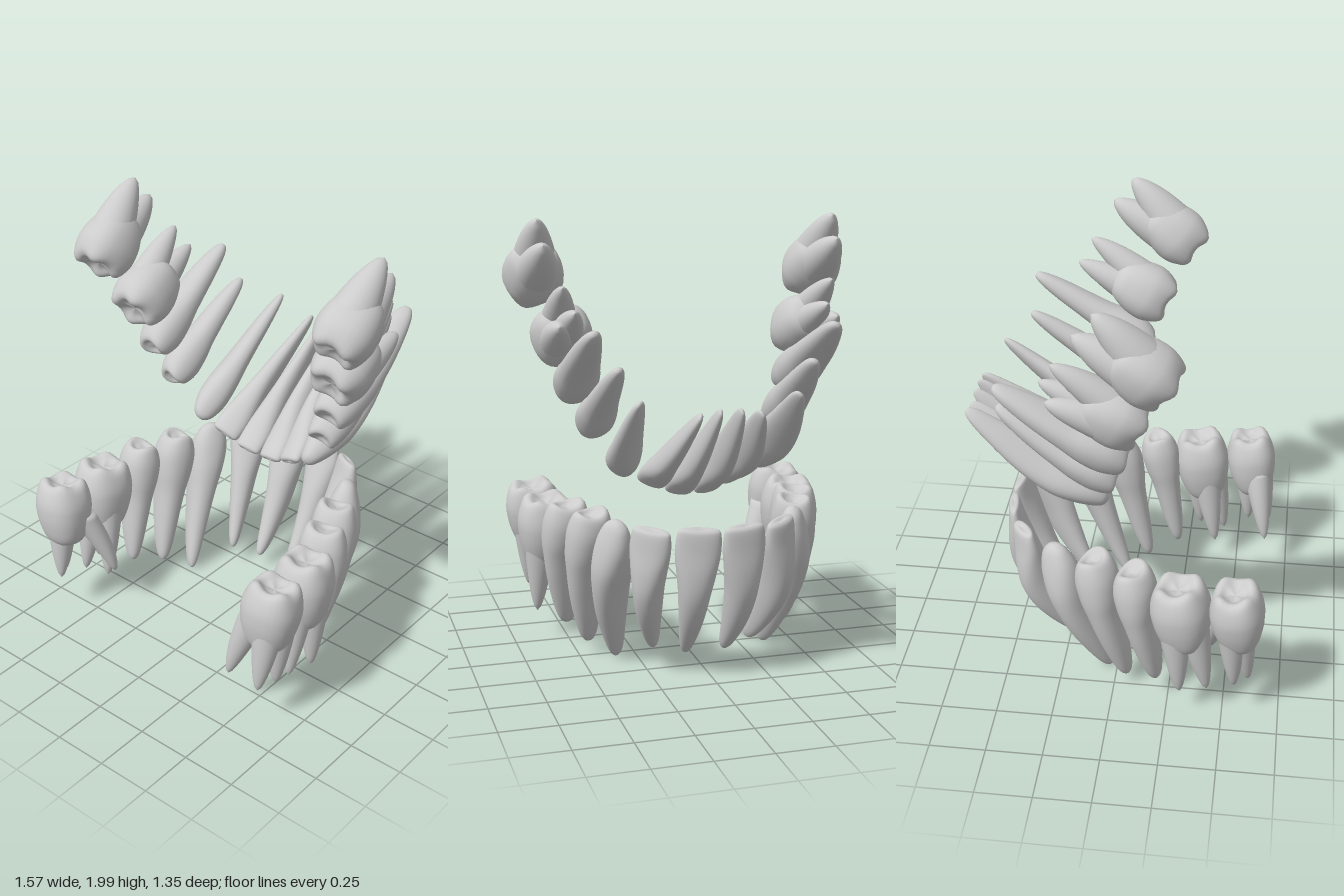
import * as THREE from 'three';

const V = (p) => new THREE.Vector3(...p);
const material = new THREE.MeshStandardMaterial({ color: 0xcccccc });
const SIDES = 28;

// Profiles run from the biting surface to the root tip: [width, depth, t] as shares of the tooth size
const PROFILES = {
  incisor: [[0, 0, 0.005], [0.76, 0.24, 0], [0.94, 0.38, 0.025], [1, 0.56, 0.13], [0.88, 0.84, 0.27], [0.72, 1, 0.42],
    [0.6, 0.95, 0.58], [0.46, 0.76, 0.75], [0.29, 0.48, 0.92], [0.15, 0.25, 0.985], [0, 0, 1]],
  canine: [[0, 0, 0], [0.4, 0.28, 0.015], [0.75, 0.5, 0.06], [1, 0.8, 0.17], [0.96, 1, 0.3], [0.78, 0.98, 0.45],
    [0.65, 0.86, 0.6], [0.52, 0.66, 0.76], [0.33, 0.42, 0.92], [0.17, 0.22, 0.985], [0, 0, 1]],
  premolar: [[0, 0, 0.035], [0.3, 0.32, 0.025], [0.56, 0.58, 0], [0.82, 0.8, 0.035], [1, 0.98, 0.15], [0.95, 1, 0.27],
    [0.76, 0.91, 0.42], [0.64, 0.8, 0.58], [0.52, 0.63, 0.76], [0.34, 0.42, 0.92], [0.18, 0.22, 0.985], [0, 0, 1]],
  molar: [[0, 0, 0.055], [0.33, 0.33, 0.04], [0.62, 0.62, 0], [0.85, 0.85, 0.05], [1, 1, 0.2], [0.97, 0.98, 0.32],
    [0.84, 0.88, 0.45], [0.68, 0.74, 0.54], [0.42, 0.46, 0.6], [0, 0, 0.62]],
};
const CUSPS = { incisor: [0, 0], canine: [0, 0], premolar: [2, 0.012], molar: [4, 0.012] };

// Skins closed rings of SIDES points, listed from the biting surface towards the root
function skin(rings) {
  const index = [];
  for (let r = 0; r < rings.length - 1; r++) {
    for (let i = 0; i < SIDES; i++) {
      const a = r * SIDES + i, a1 = r * SIDES + (i + 1) % SIDES;
      index.push(a, a + SIDES, a1, a1, a + SIDES, a1 + SIDES);
    }
  }
  const geometry = new THREE.BufferGeometry().setFromPoints(rings.flat());
  geometry.setIndex(index);
  geometry.computeVertexNormals();
  return geometry;
}

// Rounded-square ring lying across the tooth's axis
function ring(center, w, d, power, lift = () => 0) {
  return Array.from({ length: SIDES }, (_, i) => {
    const a = (i / SIDES) * Math.PI * 2, c = Math.cos(a), s = Math.sin(a);
    return new THREE.Vector3(
      center.x + w * Math.sign(c) * Math.abs(c) ** power,
      center.y + lift(a),
      center.z + d * Math.sign(s) * Math.abs(s) ** power);
  });
}

// Crown with its main root; bend bows the axis outwards
function bodyGeometry(type, length, w, d, bend) {
  const [count, height] = CUSPS[type];
  const curve = new THREE.CatmullRomCurve3(PROFILES[type].map(V));
  const rings = [];
  for (let i = 0; i <= 40; i++) {
    const p = curve.getPoint(i / 40), t = p.z;
    const rim = height * Math.max(0, 1 - t / 0.2) * Math.min(1, p.x * 1.3);
    const center = new THREE.Vector3(0, t * length, bend * Math.sin(Math.PI * Math.min(1, t)));
    rings.push(ring(center, Math.max(0, p.x) * w, Math.max(0, p.y) * d,
      type === 'molar' ? 0.85 : 0.9, (a) => rim * Math.cos(count * a)));
  }
  return skin(rings);
}

// Separate molar root from inside the body to its tip; size is its girth as a share of the crown
function rootGeometry(tip, length, w, d, size) {
  const room = 0.92 - size;
  const start = new THREE.Vector3(
    THREE.MathUtils.clamp(tip.x * 0.6, -w * room, w * room), length * 0.28,
    THREE.MathUtils.clamp(tip.z * 0.6, -d * room, d * room));
  const knee = new THREE.Vector3(tip.x * 0.8, length * 0.64, tip.z * 0.8);
  const curve = new THREE.QuadraticBezierCurve3(start, knee, tip);
  const rings = [];
  for (let i = 0; i <= 18; i++) {
    const u = i / 18;
    const r = i === 0 ? 0 : size * (1 - 0.66 * u ** 1.2) * Math.sqrt(Math.max(0, 1 - u ** 6));
    rings.push(ring(curve.getPoint(u), r * w, r * d, 1));
  }
  return skin(rings);
}

// crown and tip are points on the left side; tips lists the ends of separate roots
const UPPER = [
  { name: 'CentralIncisor', type: 'incisor', crown: [0.066, 0.785, -0.105], tip: [0.045, 1.25, -0.68], w: 0.066, d: 0.075, bend: 0.015 },
  { name: 'LateralIncisor', type: 'incisor', crown: [0.19, 0.83, -0.09], tip: [0.13, 1.235, -0.68], w: 0.07, d: 0.08, bend: 0.015 },
  { name: 'Canine', type: 'canine', crown: [0.31, 0.885, -0.05], tip: [0.37, 1.29, -0.62], tipRight: [0.3, 1.305, -0.66], w: 0.07, d: 0.09, bend: 0.02 },
  { name: 'FirstPremolar', type: 'premolar', crown: [0.43, 1.08, 0], tip: [0.425, 1.41, -0.5], w: 0.083, d: 0.088, bend: 0.01 },
  { name: 'SecondPremolar', type: 'premolar', crown: [0.5, 1.235, 0.05], tip: [0.525, 1.56, -0.49], w: 0.09, d: 0.1, bend: 0.01 },
  { name: 'FirstMolar', type: 'molar', crown: [0.55, 1.435, 0.125], tip: [0.57, 1.64, -0.28], w: 0.132, d: 0.132, size: 0.66,
    tips: [[0.6, 1.72, -0.24], [0.56, 1.62, -0.295], [0.62, 1.56, -0.26]] },
  { name: 'SecondMolar', type: 'molar', crown: [0.645, 1.67, 0.24], tip: [0.67, 1.95, -0.11], w: 0.13, d: 0.13, size: 0.84,
    tips: [[0.67, 1.99, -0.06], [0.66, 1.89, -0.14]] },
];
const LOWER = [
  { name: 'CentralIncisor', type: 'incisor', crown: [0.1, 0.712, -0.51], tip: [0.09, 0.08, -0.25], w: 0.1, d: 0.075, bend: 0.06 },
  { name: 'LateralIncisor', type: 'incisor', crown: [0.29, 0.705, -0.435], tip: [0.22, 0.1, -0.2], w: 0.092, d: 0.085, bend: 0.05 },
  { name: 'Canine', type: 'canine', crown: [0.405, 0.715, -0.285], tip: [0.35, 0.01, -0.03], w: 0.086, d: 0.095, bend: 0.035 },
  { name: 'FirstPremolar', type: 'premolar', crown: [0.475, 0.71, -0.095], tip: [0.46, 0.06, 0.06], w: 0.092, d: 0.105, bend: 0.02 },
  { name: 'SecondPremolar', type: 'premolar', crown: [0.545, 0.71, 0.085], tip: [0.53, 0.11, 0.2], w: 0.09, d: 0.11, bend: 0.015 },
  { name: 'FirstMolar', type: 'molar', crown: [0.6, 0.69, 0.29], tip: [0.59, 0.14, 0.36], w: 0.13, d: 0.132, size: 0.58,
    tips: [[0.65, 0.14, 0.31], [0.51, 0.13, 0.39], [0.62, 0.14, 0.43]] },
  { name: 'SecondMolar', type: 'molar', crown: [0.625, 0.7, 0.535], tip: [0.58, 0.19, 0.595], w: 0.117, d: 0.13, size: 0.58,
    tips: [[0.45, 0.2, 0.64], [0.64, 0.19, 0.55], [0.62, 0.2, 0.65]],
    tipsRight: [[0.42, 0.22, 0.43], [0.64, 0.19, 0.55], [0.6, 0.2, 0.61]] },
];

function buildTooth(arch, i, side) {
  const spec = arch[i], { type, w, d, bend = 0 } = spec;
  const place = ([x, y, z]) => new THREE.Vector3(side * x, y, z);
  const right = side < 0;
  const crown = place(spec.crown);
  const tip = place((right && spec.tipRight) || spec.tip);
  const before = i ? place(arch[i - 1].crown) : crown.clone().setX(-crown.x);
  const after = place(arch[Math.min(i + 1, arch.length - 1)].crown);

  // Frame: y towards the root, x along the arch, z outwards
  const length = crown.distanceTo(tip);
  const yAxis = tip.clone().sub(crown).normalize();
  const zAxis = after.sub(before).cross(yAxis).normalize();
  const middle = V(arch[arch.length - 1].crown).setX(0);
  if (zAxis.dot(crown.clone().sub(middle)) < 0) zAxis.negate();
  const xAxis = yAxis.clone().cross(zAxis);
  const matrix = new THREE.Matrix4().makeBasis(xAxis, yAxis, zAxis).setPosition(crown);

  const tooth = new THREE.Group();
  tooth.name = (right ? 'right' : 'left') + spec.name;
  const add = (name, geometry) => {
    const mesh = new THREE.Mesh(geometry, material);
    mesh.name = name;
    tooth.add(mesh);
  };
  add('crown', bodyGeometry(type, length, w, d, bend));
  const inverse = matrix.clone().invert();
  for (const end of (right && spec.tipsRight) || spec.tips || []) {
    add('root', rootGeometry(place(end).applyMatrix4(inverse), length, w, d, spec.size));
  }
  matrix.decompose(tooth.position, tooth.quaternion, tooth.scale);
  return tooth;
}

export function createModel() {
  const model = new THREE.Group();
  model.name = 'teeth';
  for (const [name, arch, shift] of [['upperArch', UPPER, 0], ['lowerArch', LOWER, -0.015]]) {
    const group = new THREE.Group();
    group.name = name;
    group.position.x = shift;
    arch.forEach((_, i) => [1, -1].forEach((side) => group.add(buildTooth(arch, i, side))));
    model.add(group);
  }
  return model;
}
